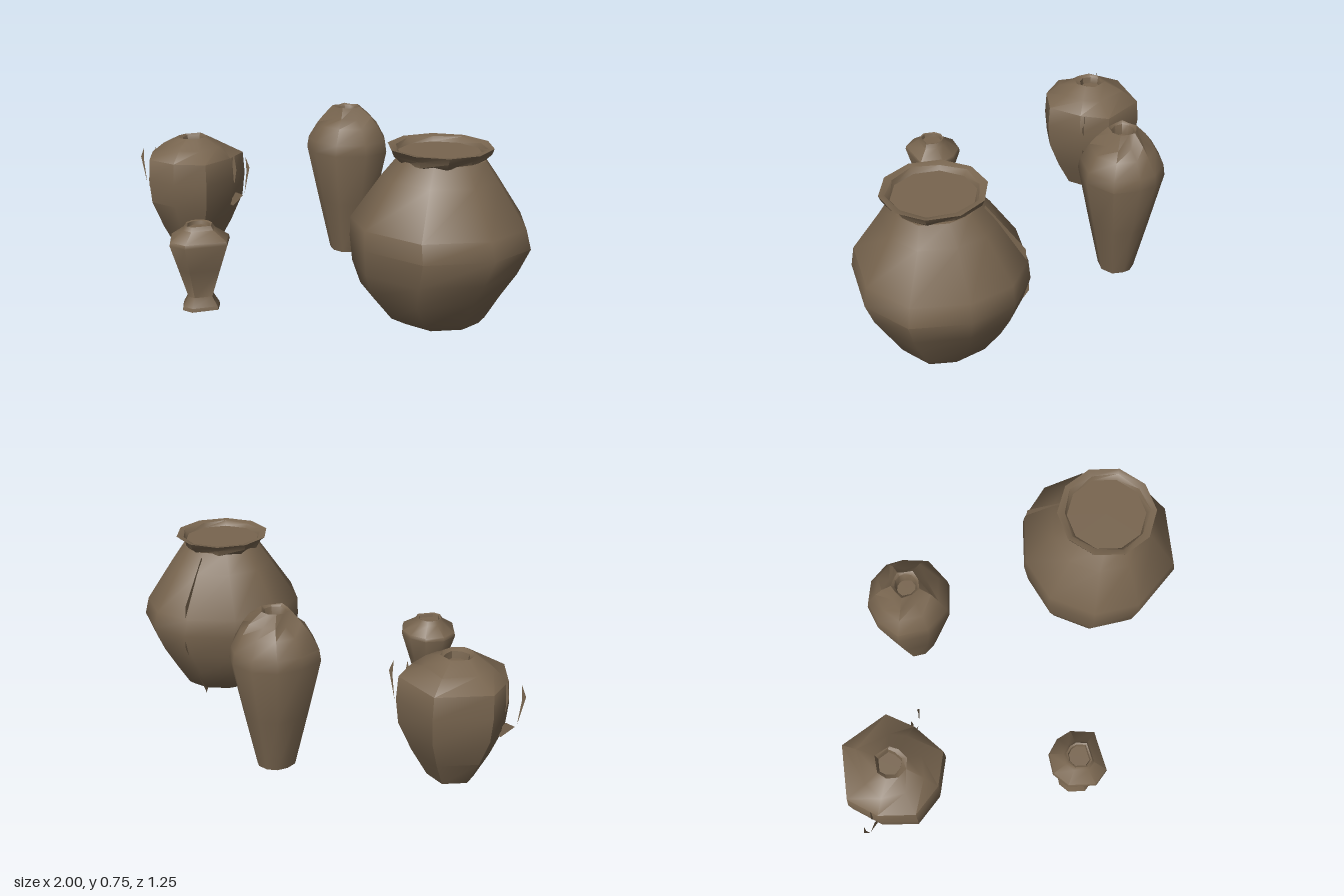
import * as THREE from 'three';
import { toCreasedNormals } from 'three/addons/utils/BufferGeometryUtils.js';

const clay = new THREE.MeshStandardMaterial({ color: 0x78654f, side: THREE.DoubleSide });
clay.name = 'brown clay';

// Lofts a pot from a footprint [x, z] (counterclockwise from above) and rings
// [height, scale, shift x, shift z, fold]; fold pulls every other corner in.
function pot(name, [cx, cz], footprint, rings) {
  const n = footprint.length;
  const positions = [];
  const index = [];
  for (const [y, s, dx = 0, dz = 0, fold = 0] of rings) {
    footprint.forEach(([x, z], i) => {
      const k = s * (i % 2 ? 1 - fold : 1 + fold * 0.3);
      positions.push(cx + dx + (x - cx) * k, y - (i % 2 ? fold * 0.05 : 0), cz + dz + (z - cz) * k);
    });
  }
  for (let r = 0; r < rings.length - 1; r++) {
    for (let i = 0; i < n; i++) {
      const a = r * n + i, b = r * n + (i + 1) % n;
      index.push(a, b, b + n, a, b + n, a + n);
    }
  }
  // Base and mouth are closed with flat fans
  const base = rings.length * n, top = base + 1, last = base - n;
  for (const [y, , dx = 0, dz = 0] of [rings[0], rings[rings.length - 1]]) positions.push(cx + dx, y, cz + dz);
  for (let i = 0; i < n; i++) {
    const j = (i + 1) % n;
    index.push(base, j, i, top, last + i, last + j);
  }
  const geometry = new THREE.BufferGeometry();
  geometry.setAttribute('position', new THREE.Float32BufferAttribute(positions, 3));
  geometry.setIndex(index);
  const mesh = new THREE.Mesh(toCreasedNormals(geometry, 0.85), clay);
  mesh.name = name;
  return mesh;
}

// Thin flat piece outlined by [u, y] points
function sliver(name, points) {
  const shape = new THREE.Shape(points.map(p => new THREE.Vector2(...p)));
  const mesh = new THREE.Mesh(new THREE.ShapeGeometry(shape), clay);
  mesh.name = name;
  return mesh;
}

export function createModel() {
  const group = new THREE.Group();
  group.name = 'clayPots';

  // Large round jar with a flared lip and a filled mouth
  group.add(pot('largeJar', [0.63, 0.22],
    [[1.0, 0.25], [0.93, 0.02], [0.79, -0.12], [0.61, -0.15], [0.4, -0.06], [0.27, 0.11],
      [0.27, 0.33], [0.39, 0.5], [0.65, 0.58], [0.9, 0.45]],
    [[0.01, 0.46, 0, 0], [0.04, 0.58, -0.02], [0.15, 0.79, -0.035], [0.25, 0.92, -0.02], [0.36, 1],
      [0.44, 0.97, -0.01], [0.62, 0.64, -0.01], [0.7, 0.48, -0.005, 0.01]]));
  const lipOutline = Array.from({ length: 10 }, (_, i) => {
    const a = i * Math.PI / 5 + 0.1;
    return [0.615 + 0.215 * Math.cos(a), 0.23 - 0.215 * Math.sin(a)];
  });
  group.add(pot('largeJarLip', [0.615, 0.23], lipOutline,
    [[0.69, 0.8], [0.72, 0.92, 0, 0, 0.12], [0.745, 1], [0.742, 0.88, 0, 0, 0.04], [0.72, 0.8]]));
  const seam = sliver('largeJarSeam',
    [[-0.03, 0.69], [0.13, 0.5], [0.145, 0.3], [-0.02, 0], [-0.1, 0.1]]);
  seam.rotation.y = Math.PI / 2;
  seam.position.x = 0.61;
  group.add(seam);

  // Tall tapering jar with a pinched shoulder
  group.add(pot('tallJar', [0, -0.44],
    [[0.19, -0.43], [0.15, -0.54], [0.1, -0.6], [0, -0.63], [-0.1, -0.6], [-0.17, -0.52],
      [-0.2, -0.41], [-0.12, -0.3], [0, -0.255], [0.13, -0.31]],
    [[0.02, 0.43], [0.27, 0.72], [0.52, 1], [0.57, 0.96], [0.64, 0.75], [0.68, 0.56, 0, 0, 0.18],
      [0.725, 0.33, -0.01, 0, 0.08], [0.715, 0.26, -0.01], [0.67, 0.22, -0.01]]));

  // Broad urn with a narrow folded mouth
  group.add(pot('broadUrn', [-0.71, -0.21],
    [[-0.505, -0.2], [-0.5, -0.34], [-0.7, -0.46], [-0.91, -0.34], [-0.925, -0.19], [-0.86, -0.04],
      [-0.71, 0], [-0.56, -0.04]],
    [[0.02, 0.43], [0.14, 0.71], [0.27, 0.95], [0.38, 1], [0.48, 0.97], [0.53, 0.65, 0, 0, 0.14],
      [0.57, 0.31, 0, 0, 0.05], [0.56, 0.24, 0, -0.01], [0.53, 0.22, 0, -0.01]]));

  // Broken, paper-thin handles on both sides of the urn
  const pieces = {
    Upper: [[0.21, 0.35], [0.222, 0.42], [0.21, 0.5], [0.195, 0.42]],
    Outer: [[0.262, 0.31], [0.274, 0.42], [0.27, 0.49], [0.29, 0.44]],
    Lower: [[0.18, 0.25], [0.2, 0.24], [0.255, 0.3], [0.215, 0.31]],
  };
  for (const [side, sign] of [['left', 1], ['right', -1]]) {
    for (const [part, points] of Object.entries(pieces)) {
      const handle = sliver(`${side}Handle${part}`, points.map(([x, y]) => [sign * x, y]));
      handle.position.set(-0.71, 0, -0.22);
      group.add(handle);
    }
  }

  // Small footed vase
  group.add(pot('smallVase', [-0.34, 0.49],
    [[-0.2, 0.51], [-0.235, 0.41], [-0.29, 0.37], [-0.37, 0.36], [-0.445, 0.41], [-0.47, 0.49],
      [-0.42, 0.6], [-0.34, 0.62]],
    [[0.02, 0.63], [0.035, 0.6], [0.075, 0.42], [0.2, 0.72], [0.315, 1], [0.33, 0.97], [0.37, 0.52],
      [0.388, 0.44], [0.385, 0.38], [0.37, 0.35]]));

  return group;
}
